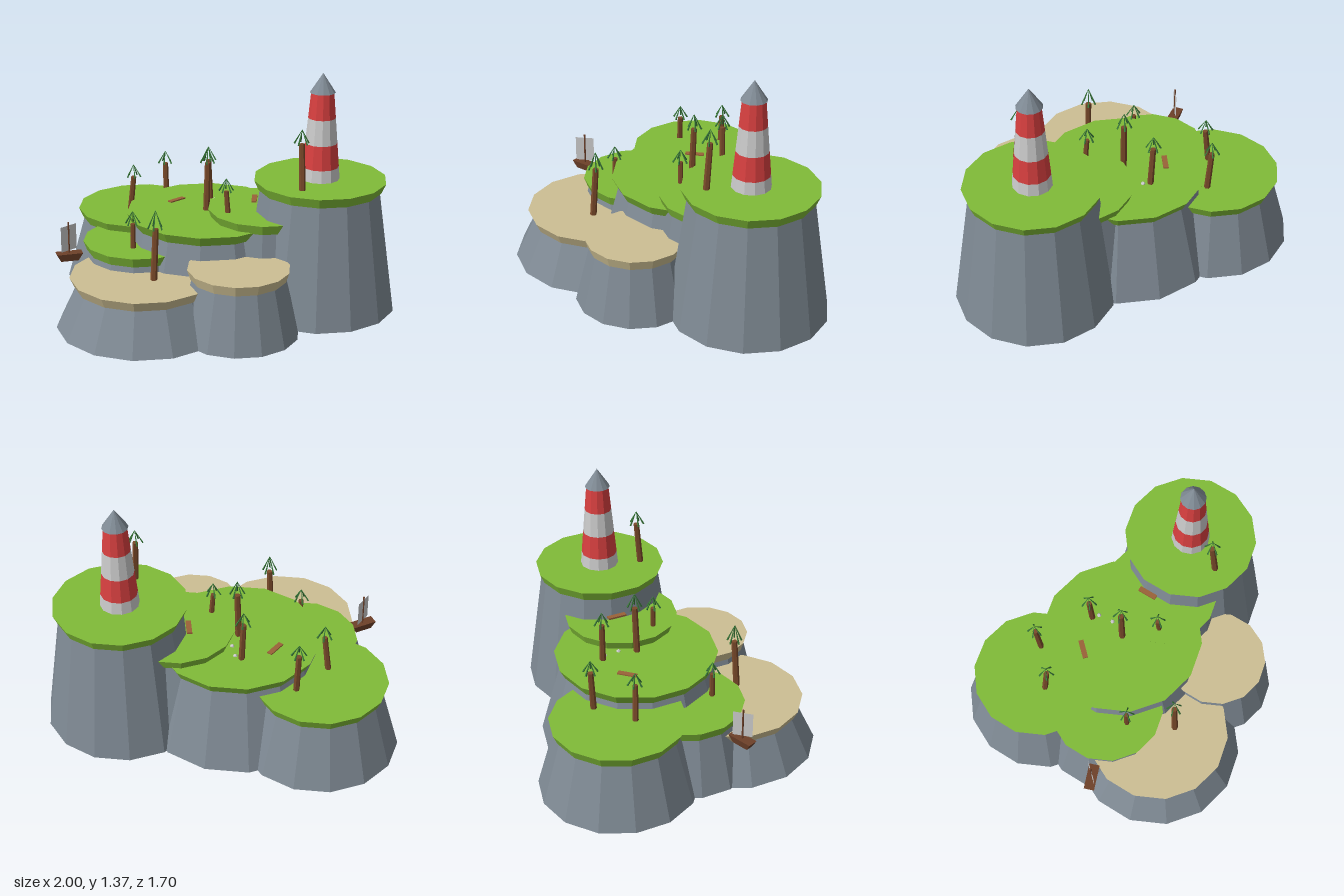
import * as THREE from 'three';

const mat = (color) => new THREE.MeshStandardMaterial({ color, flatShading: true });

export function createModel() {
  const root = new THREE.Group();
  const M = {
    rock: mat(0x7f8a94), grass: mat(0x80bb38), sand: mat(0xcdbf93), trunk: mat(0x7a4a2a),
    leaf: mat(0x3a7a3a), red: mat(0xd94040), plain: mat(0xcccccc), plank: mat(0x9a6238), hull: mat(0x6e4029),
  };
  M.sail = mat(0xcccccc);
  M.sail.side = THREE.DoubleSide;

  const add = (parent, name, geometry, material, x = 0, y = 0, z = 0) => {
    const mesh = new THREE.Mesh(geometry, material);
    mesh.name = name;
    mesh.position.set(x, y, z);
    parent.add(mesh);
    return mesh;
  };
  const group = (name, x = 0, y = 0, z = 0) => {
    const g = new THREE.Group();
    g.name = name;
    g.position.set(x, y, z);
    root.add(g);
    return g;
  };
  const drum = (top, bottom, height, sides) => new THREE.CylinderGeometry(top, bottom, height, sides);

  // Terraces: tapered cliff with an overhanging grass or sand cap
  const CAP = 0.056;
  const terraces = [
    // name, x, z, base radius, top height, cap material
    ['lighthouseTerrace', 0.56, -0.40, 0.45, 0.76, M.grass],
    ['leftTerrace', -0.56, -0.265, 0.45, 0.43, M.grass],
    ['middleTerrace', -0.05, -0.175, 0.555, 0.525, M.grass],
    ['upperTerrace', 0.28, -0.27, 0.392, 0.575, M.grass],
    ['lowerTerrace', -0.33, 0.105, 0.39, 0.385, M.grass],
    ['frontBeach', -0.145, 0.36, 0.49, 0.295, M.sand],
    ['rightBeach', 0.37, 0.195, 0.34, 0.385, M.sand],
  ];
  for (const [name, x, z, r, top, cover] of terraces) {
    const g = group(name, x, 0, z);
    const h = top - CAP;
    add(g, 'cliff', drum(r * 0.765, r, h, 14), M.rock, 0, h / 2, 0);
    add(g, 'cap', drum(r * 0.838, r * 0.785, CAP, 14), cover, 0, top - CAP / 2, 0);
  }

  // Lighthouse: tapered tower in alternating bands, with a conical roof
  const tower = group('lighthouse', 0.56, 0, -0.40);
  const levels = [0.74, 0.832, 0.97, 1.115, 1.26];
  const radius = (y) => 0.11 - (y - 0.76) * 0.092;
  for (let i = 0; i < 4; i++) {
    const [a, b] = [levels[i], levels[i + 1]];
    add(tower, 'towerBand', drum(radius(b), radius(a), b - a, 12), i % 2 ? M.red : M.plain, 0, (a + b) / 2, 0);
  }
  add(tower, 'roof', new THREE.ConeGeometry(0.072, 0.11, 12), M.rock, 0, 1.315, 0);

  // Palms: leaning trunk and five thin fronds falling from a peak
  const up = new THREE.Vector3(0, 1, 0);
  const rod = (parent, name, from, to, top, bottom, sides, material) => {
    const d = to.clone().sub(from);
    const mesh = add(parent, name, drum(top, bottom, d.length(), sides), material);
    mesh.position.copy(from).addScaledVector(d, 0.5);
    mesh.quaternion.setFromUnitVectors(up, d.normalize());
  };
  const palms = [
    // base x, z, ground, trunk top, peak, lean x, lean z
    [0.57, -0.158, 0.76, 1.02, 1.10, -0.02, -0.02],
    [-0.05, -0.17, 0.525, 0.81, 0.90, 0.003, -0.01],
    [-0.135, -0.36, 0.525, 0.76, 0.84, -0.012, 0],
    [0.145, -0.08, 0.575, 0.70, 0.775, -0.012, 0],
    [-0.465, -0.40, 0.43, 0.67, 0.745, -0.013, -0.01],
    [-0.577, -0.17, 0.43, 0.64, 0.715, 0.027, 0],
    [-0.283, 0.25, 0.385, 0.53, 0.605, 0, 0],
    [-0.05, 0.40, 0.295, 0.59, 0.695, 0.003, -0.02],
  ];
  palms.forEach(([x, z, ground, top, peak, lx, lz], n) => {
    const g = group('palm', x, ground, z);
    const crown = new THREE.Vector3(lx, top - ground, lz);
    rod(g, 'trunk', new THREE.Vector3(0, -0.01, 0), crown, 0.011 + (top - ground) * 0.02, 0.013 + (top - ground) * 0.02, 6, M.trunk);
    const apex = crown.clone().setY(peak - ground);
    const drop = peak - top;
    for (let i = 0; i < 5; i++) {
      const a = (i / 5) * Math.PI * 2 + n * 0.4;
      const end = new THREE.Vector3(Math.sin(a) * 0.042, -drop * 1.0, Math.cos(a) * 0.042).add(apex);
      rod(g, 'frond', end, apex, 0.001, 0.0055, 4, M.leaf);
    }
  });

  // Loose planks and pebbles on the terraces
  const plankShape = new THREE.BoxGeometry(0.03, 0.01, 0.11);
  add(root, 'plank', plankShape, M.plank, -0.283, 0.527, -0.22).rotation.y = -0.3;
  add(root, 'plank', plankShape, M.plank, 0.2, 0.603, -0.29).rotation.y = 0.45;
  const pebble = new THREE.IcosahedronGeometry(0.014, 0);
  add(root, 'pebble', pebble, M.plain, -0.095, 0.523, -0.35);
  add(root, 'pebble', pebble, M.plain, -0.05, 0.523, -0.275);

  // Moored boat with a tapered hull, mast and two sails
  const boat = group('boat', -0.617, 0, 0.405);
  boat.rotation.y = 0.8;
  const hullShape = drum(Math.SQRT1_2, 0.47, 1, 4).rotateY(Math.PI / 4).scale(0.15, 0.045, 0.06);
  add(boat, 'hull', hullShape, M.hull, 0, 0.318, 0);
  add(boat, 'mast', drum(0.005, 0.005, 0.19, 6), M.hull, 0, 0.43, 0);
  for (const s of [-1, 1]) {
    const sail = add(boat, 'sail', new THREE.PlaneGeometry(0.05, 0.15), M.sail);
    sail.rotation.y = 0.5;
    sail.position.set(s * 0.03 * Math.cos(0.5), 0.43, -s * 0.03 * Math.sin(0.5));
  }
  return root;
}
